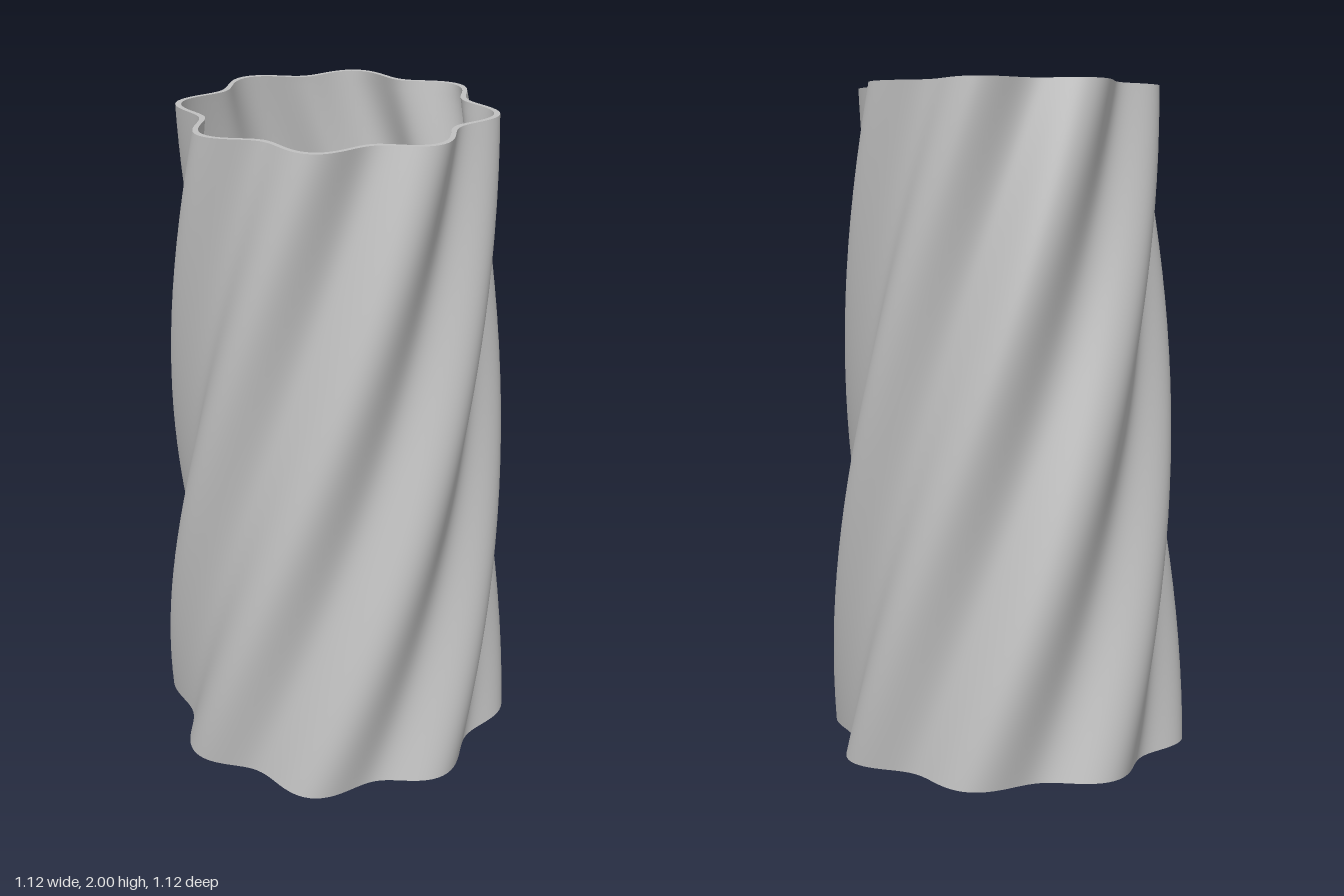
import * as THREE from 'three';

const HEIGHT = 2, LOBES = 8, SEGMENTS = 192, ROWS = 64;
const WALL = 0.017, FLOOR = 0.08, HOLE = 0.466;

// Outer radius of the tapered, fluted body, twisted a quarter turn over its height
const fluted = (a, y) =>
  0.525 - 0.05 * y + 0.035 * Math.cos(LOBES * (a - (y * Math.PI) / 4));
const inner = (a, y) => fluted(a, y) - WALL;
const round = () => HOLE;

// Surface swept from one ring (radius rule r0 at y0) to another (r1 at y1)
function sweep(r0, y0, r1, y1, rows = 1) {
  const positions = [], indices = [];
  for (let j = 0; j <= rows; j++) {
    const t = j / rows, y = y0 + (y1 - y0) * t;
    for (let i = 0; i < SEGMENTS; i++) {
      const a = (i / SEGMENTS) * Math.PI * 2;
      const r = r0(a, y) * (1 - t) + r1(a, y) * t;
      positions.push(r * Math.sin(a), y, r * Math.cos(a));
    }
  }
  for (let j = 0; j < rows; j++) {
    for (let i = 0; i < SEGMENTS; i++) {
      const k = (i + 1) % SEGMENTS;
      const a = j * SEGMENTS + i, b = j * SEGMENTS + k;
      const c = a + SEGMENTS, d = b + SEGMENTS;
      indices.push(a, b, d, a, d, c);
    }
  }
  const geometry = new THREE.BufferGeometry();
  geometry.setAttribute('position', new THREE.Float32BufferAttribute(positions, 3));
  geometry.setIndex(indices);
  geometry.computeVertexNormals();
  return geometry;
}

export function createModel() {
  const group = new THREE.Group();
  group.name = 'twistedVase';
  const grey = new THREE.MeshStandardMaterial({ color: 0xc0c0c0 });
  grey.name = 'light grey';

  const add = (name, geometry) => {
    const mesh = new THREE.Mesh(geometry, grey);
    mesh.name = name;
    group.add(mesh);
  };

  // Fluted wall, outside and inside, joined by a thin rim
  add('outerWall', sweep(fluted, 0, fluted, HEIGHT, ROWS));
  add('rim', sweep(fluted, HEIGHT, inner, HEIGHT));
  add('innerWall', sweep(inner, HEIGHT, inner, FLOOR, ROWS));

  // Base ring with a round opening
  add('baseLedge', sweep(inner, FLOOR, round, FLOOR));
  add('baseOpening', sweep(round, FLOOR, round, 0));
  add('baseUnderside', sweep(round, 0, fluted, 0));
  return group;
}
